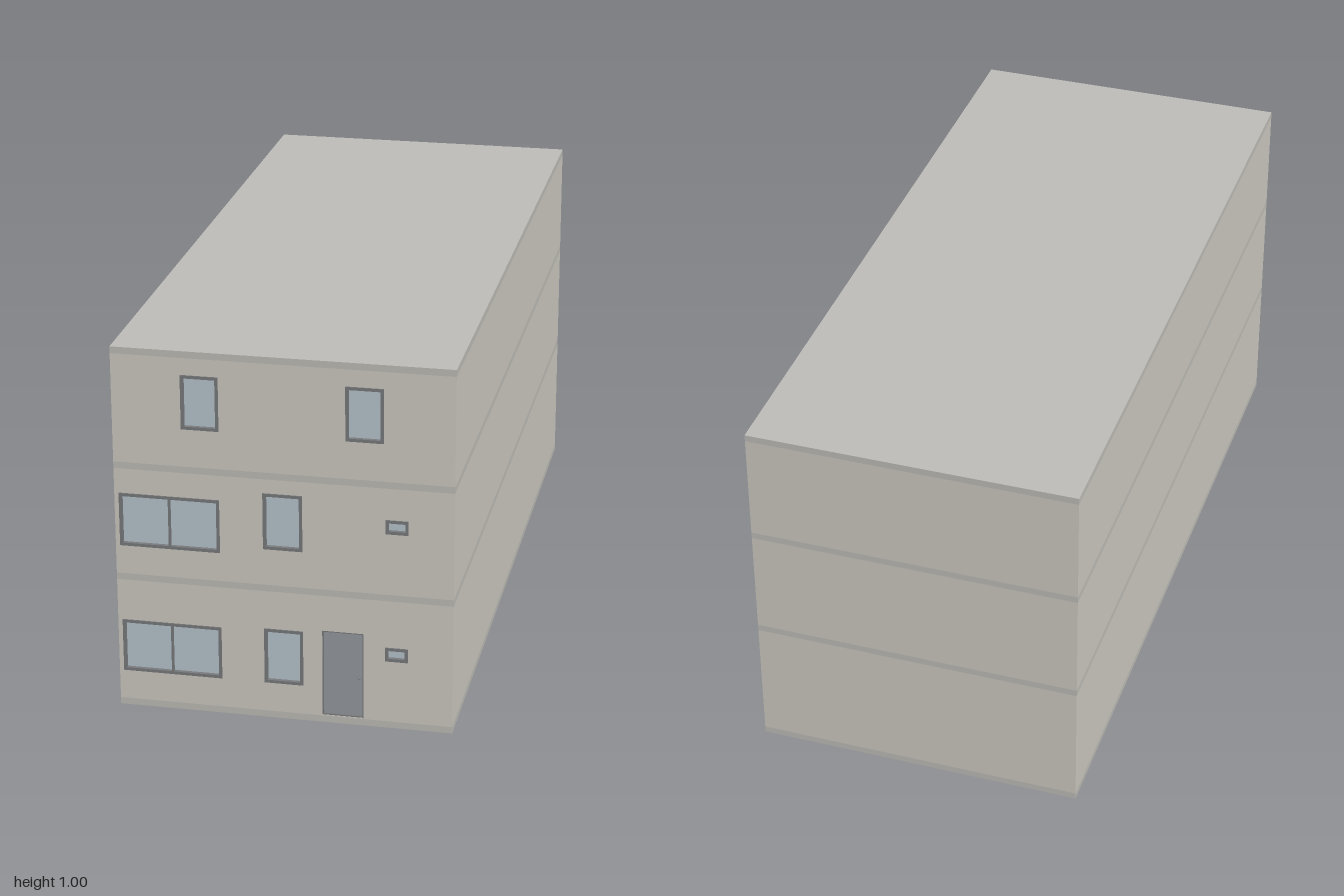
import * as THREE from 'three';

const W = 0.88, BACK = -1, FRONT = 0.997, T = 0.02, SLAB = 0.018;
const DEPTH = FRONT - BACK, MID = (FRONT + BACK) / 2;

const paint = (color) => new THREE.MeshStandardMaterial({ color });
const wallMat = paint(0xcbc8c0), slabMat = paint(0xbdbbb5), frameMat = paint(0x77797b);
const glassMat = paint(0xb4c2cb), doorMat = paint(0x94979c), roofMat = paint(0xbdbbb8);

// Openings as [x0, x1, y0, y1, panes], listed per storey
const storeys = [
  { y0: SLAB, y1: 0.358, windows: [
    [-0.428, -0.165, 0.1, 0.245, 2], [-0.052, 0.05, 0.1, 0.253, 1], [0.264, 0.323, 0.19, 0.228, 1]],
    door: [0.1, 0.208, 0.021, 0.26] },
  { y0: 0.376, y1: 0.667, windows: [
    [-0.428, -0.165, 0.455, 0.6, 2], [-0.052, 0.05, 0.476, 0.629, 1], [0.264, 0.323, 0.544, 0.582, 1]] },
  { y0: 0.685, y1: 0.977, windows: [
    [-0.26, -0.163, 0.787, 0.932, 1], [0.162, 0.259, 0.787, 0.932, 1]] },
];

function box(name, w, h, d, x, y, z, mat) {
  const m = new THREE.Mesh(new THREE.BoxGeometry(w, h, d), mat);
  m.name = name;
  m.position.set(x, y, z);
  return m;
}

function rect(Type, x0, x1, y0, y1) {
  return new Type([[x0, y0], [x1, y0], [x1, y1], [x0, y1]].map(([x, y]) => new THREE.Vector2(x, y)));
}

// Rectangular plate with rectangular holes, its front face at zFront
function plate(name, outer, holes, depth, zFront, mat) {
  const shape = rect(THREE.Shape, ...outer);
  holes.forEach((h) => shape.holes.push(rect(THREE.Path, ...h)));
  const m = new THREE.Mesh(new THREE.ExtrudeGeometry(shape, { depth, bevelEnabled: false }), mat);
  m.name = name;
  m.position.z = zFront - depth;
  return m;
}

// Slim frame standing just proud of the wall, with recessed panes
function makeWindow([x0, x1, y0, y1, panes]) {
  const g = new THREE.Group();
  g.name = 'window';
  const rim = 0.008, bar = 0.005;
  const step = (x1 - x0 - 2 * rim) / panes;
  const holes = [];
  for (let i = 0; i < panes; i++) {
    const a = x0 + rim + i * step;
    holes.push([a + (i > 0 ? bar / 2 : 0), a + step - (i < panes - 1 ? bar / 2 : 0), y0 + rim, y1 - rim]);
  }
  g.add(plate('windowFrame', [x0, x1, y0, y1], holes, 0.018, 1, frameMat));
  g.add(box('glass', x1 - x0 - rim, y1 - y0 - rim, 0.004, (x0 + x1) / 2, (y0 + y1) / 2, 0.988, glassMat));
  return g;
}

// Recessed door leaf with a thin frame and a knob
function makeDoor([x0, x1, y0, y1]) {
  const g = new THREE.Group();
  g.name = 'door';
  const rim = 0.003;
  g.add(plate('doorFrame', [x0, x1, y0, y1], [[x0 + rim, x1 - rim, y0 + rim, y1 - rim]], 0.016, FRONT - 0.001, frameMat));
  g.add(box('doorLeaf', x1 - x0 - rim, y1 - y0 - rim, 0.006, (x0 + x1) / 2, (y0 + y1) / 2, 0.987, doorMat));
  const knob = new THREE.Mesh(new THREE.SphereGeometry(0.003, 12, 8), frameMat);
  knob.name = 'doorKnob';
  knob.position.set(x1 - 0.012, (y0 + y1) / 2 - 0.01, 0.992);
  g.add(knob);
  return g;
}

export function createModel() {
  const model = new THREE.Group();
  model.name = 'house';

  // Floor slabs show as flush bands between the storeys; the last is the roof
  [0, 0.358, 0.667, 0.977].forEach((y, i) => {
    const roof = i === 3;
    const mats = [0, 1, 2, 3, 4, 5].map((f) => (roof && f === 2 ? roofMat : slabMat));
    model.add(box(roof ? 'roofSlab' : 'floorSlab', W, SLAB, DEPTH, 0, y + SLAB / 2, MID, mats));
  });

  // Storeys: side walls, back wall, and a front wall pierced by its openings
  storeys.forEach(({ y0, y1, windows, door }) => {
    const g = new THREE.Group();
    g.name = 'storey';
    const h = y1 - y0, y = (y0 + y1) / 2;
    for (const s of [-1, 1]) {
      g.add(box(s > 0 ? 'leftWall' : 'rightWall', T, h, DEPTH - 2 * T, s * (W - T) / 2, y, MID, wallMat));
    }
    g.add(box('backWall', W, h, T, 0, y, BACK + T / 2, wallMat));
    const openings = windows.map((w) => w.slice(0, 4));
    if (door) openings.push(door);
    g.add(plate('frontWall', [-W / 2, W / 2, y0, y1], openings, T, FRONT, wallMat));
    windows.forEach((w) => g.add(makeWindow(w)));
    if (door) g.add(makeDoor(door));
    model.add(g);
  });
  return model;
}
